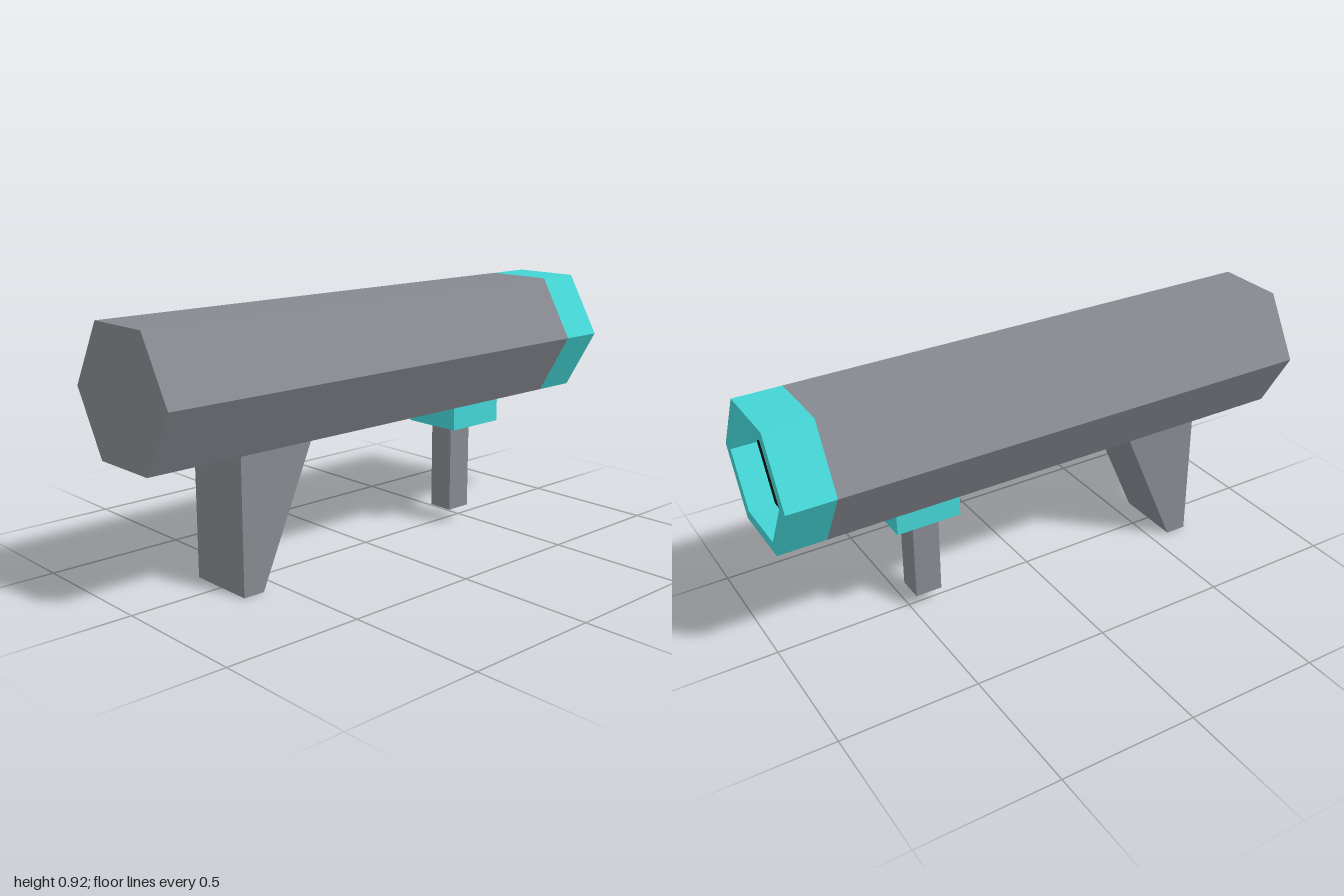
import * as THREE from 'three';

const material = (name, color) => {
  const m = new THREE.MeshStandardMaterial({ color });
  m.name = name;
  return m;
};

// Hexagon outline with corners on the horizontal axis
function hexPoints(radius) {
  return Array.from({ length: 6 }, (_, i) => {
    const a = (i * Math.PI) / 3;
    return new THREE.Vector2(radius * Math.cos(a), radius * Math.sin(a));
  });
}

// Hexagonal prism along x, optionally bored through
function hexPrism(x0, x1, radius, boreRadius = 0) {
  const shape = new THREE.Shape(hexPoints(radius));
  if (boreRadius) shape.holes.push(new THREE.Path(hexPoints(boreRadius)));
  const geo = new THREE.ExtrudeGeometry(shape, { depth: x1 - x0, bevelEnabled: false });
  return geo.rotateY(Math.PI / 2).translate(x0, 0.698, 0);
}

// Box given by its extents on each axis
function boxBetween([x0, x1], [y0, y1], [z0, z1]) {
  return new THREE.BoxGeometry(x1 - x0, y1 - y0, z1 - z0)
    .translate((x0 + x1) / 2, (y0 + y1) / 2, (z0 + z1) / 2);
}

export function createModel() {
  const grey = material('grey metal', 0x85888f);
  const cyan = material('cyan trim', 0x44d4d4);
  const black = material('black bore', 0x0e0e0e);
  const group = new THREE.Group();
  group.name = 'launcher';

  const add = (name, geometry, mat) => {
    const mesh = new THREE.Mesh(geometry, mat);
    mesh.name = name;
    group.add(mesh);
  };

  // Tube, hollow muzzle collar and the dark plate recessed inside it
  add('barrel', hexPrism(-1, 0.83, 0.255), grey);
  add('muzzleCollar', hexPrism(0.83, 1, 0.255, 0.21), cyan);
  add('borePlate', hexPrism(0.902, 0.91, 0.21), black);

  // Wedge-shaped rear grip
  const wedge = new THREE.Shape([
    new THREE.Vector2(-0.655, 0),
    new THREE.Vector2(-0.575, 0),
    new THREE.Vector2(-0.365, 0.478),
    new THREE.Vector2(-0.655, 0.478),
  ]);
  const wedgeGeo = new THREE.ExtrudeGeometry(wedge, { depth: 0.255, bevelEnabled: false });
  add('rearGrip', wedgeGeo.translate(0, 0, -0.1275), grey);

  // Front handle hanging from its mount
  add('handleMount', boxBetween([0.335, 0.575], [0.391, 0.48], [-0.107, 0.122]), cyan);
  add('frontHandle', boxBetween([0.385, 0.485], [0.055, 0.391], [-0.037, 0.06]), grey);

  return group;
}
